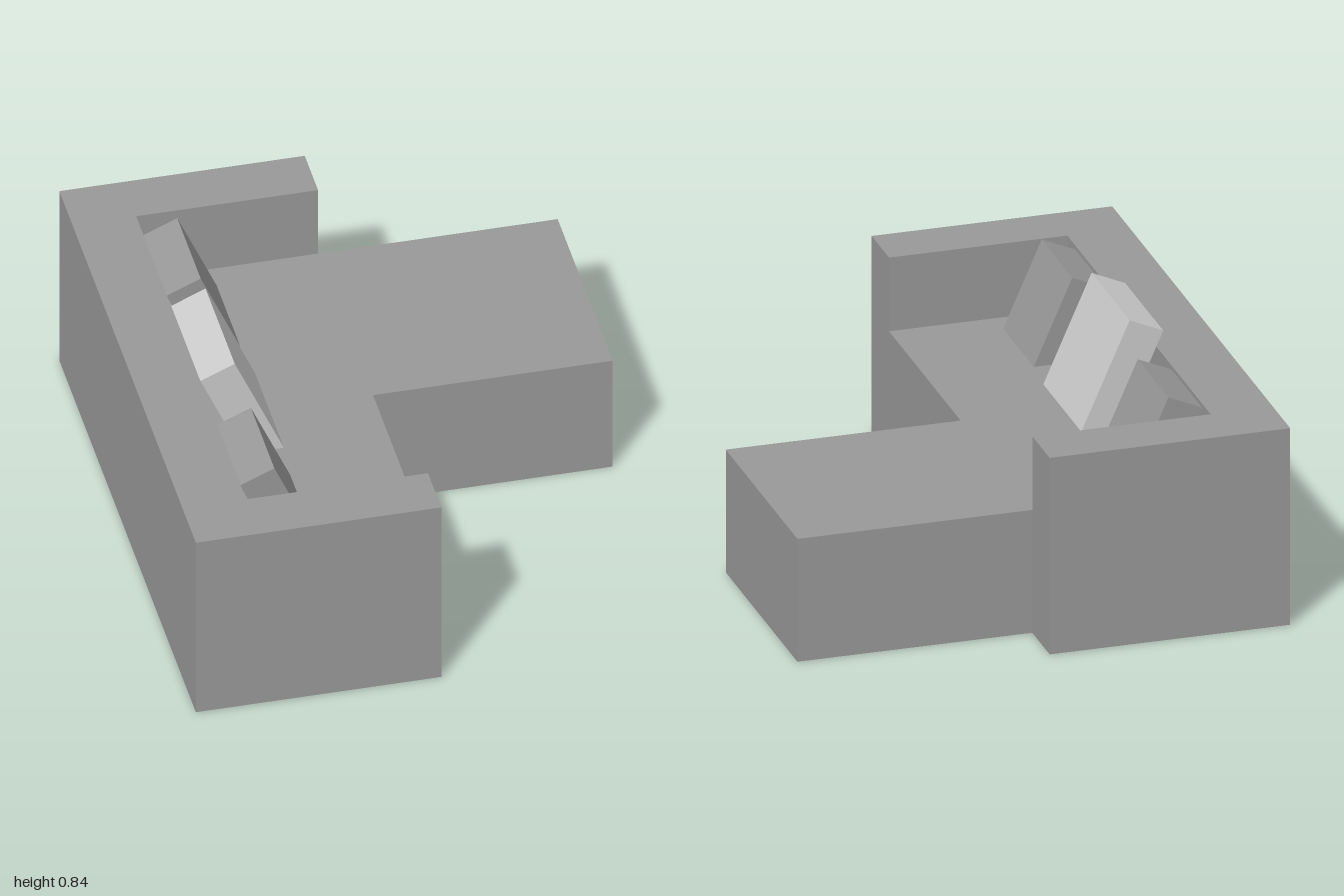
import * as THREE from 'three';

const BACK = -0.84, INNER = -0.62, FRONT = 0.01, CHAISE = 0.84; // x positions
const END = 1, ARM = 0.805;                                     // z positions
const SEAT_Y = 0.45, TOP_Y = 0.72;

// Vertical panels standing along a path of [x, z] points
function walls(path, y0, y1) {
  const pos = [];
  for (let i = 0; i < path.length - 1; i++) {
    const [ax, az] = path[i], [bx, bz] = path[i + 1];
    pos.push(ax, y0, az, bx, y0, bz, bx, y1, bz, ax, y0, az, bx, y1, bz, ax, y1, az);
  }
  const g = new THREE.BufferGeometry();
  g.setAttribute('position', new THREE.Float32BufferAttribute(pos, 3));
  g.computeVertexNormals();
  return g;
}

// Horizontal upward-facing panel from an outline of [x, z] points
function slab(outline, y) {
  const shape = new THREE.Shape(outline.map(([x, z]) => new THREE.Vector2(x, -z)));
  return new THREE.ShapeGeometry(shape).rotateX(-Math.PI / 2).translate(0, y, 0);
}

export function createModel() {
  const model = new THREE.Group();
  model.name = 'cornerSofa';

  const upholstery = new THREE.MeshStandardMaterial({ color: 0x999999, side: THREE.DoubleSide });
  upholstery.name = 'grey upholstery';
  const lightFabric = new THREE.MeshStandardMaterial({ color: 0xcccccc, side: THREE.DoubleSide });
  lightFabric.name = 'light cushion fabric';

  const add = (name, geometry, material = upholstery) => {
    const mesh = new THREE.Mesh(geometry, material);
    mesh.name = name;
    model.add(mesh);
    return mesh;
  };

  // Hollow backrest and arms, open underneath
  const outer = [[FRONT, -ARM], [FRONT, -END], [BACK, -END], [BACK, END], [FRONT, END], [FRONT, ARM]];
  const inner = [[FRONT, ARM], [INNER, ARM], [INNER, -ARM], [FRONT, -ARM]];
  add('frameOuterWalls', walls(outer, 0, TOP_Y));
  add('frameInnerWalls', walls(inner, SEAT_Y, TOP_Y));
  add('frameTop', slab([...outer, ...inner.slice(1, 3)], TOP_Y));

  // L-shaped seat with chaise, also open underneath
  const seatEdge = [[FRONT, ARM], [FRONT, 0], [CHAISE, 0], [CHAISE, -ARM], [FRONT, -ARM]];
  add('seatWalls', walls(seatEdge, 0, SEAT_Y));
  add('seatTop', slab([[INNER, ARM], ...seatEdge.slice(0, 4), [INNER, -ARM]], SEAT_Y));

  // Leaning square cushions, pivoted on their lower front edge
  const cushion = (name, size, x, z, material) => {
    const thick = 0.13;
    const g = new THREE.BoxGeometry(thick, size, size).translate(-thick / 2, size / 2, 0);
    const mesh = add(name, g, material);
    mesh.position.set(x, 0.445, z);
    mesh.rotation.z = 0.415;
  };
  cushion('middleCushion', 0.428, -0.347, 0, lightFabric);
  cushion('frontCushion', 0.344, -0.361, 0.538, upholstery);
  cushion('rearCushion', 0.344, -0.361, -0.541, upholstery);

  return model;
}
